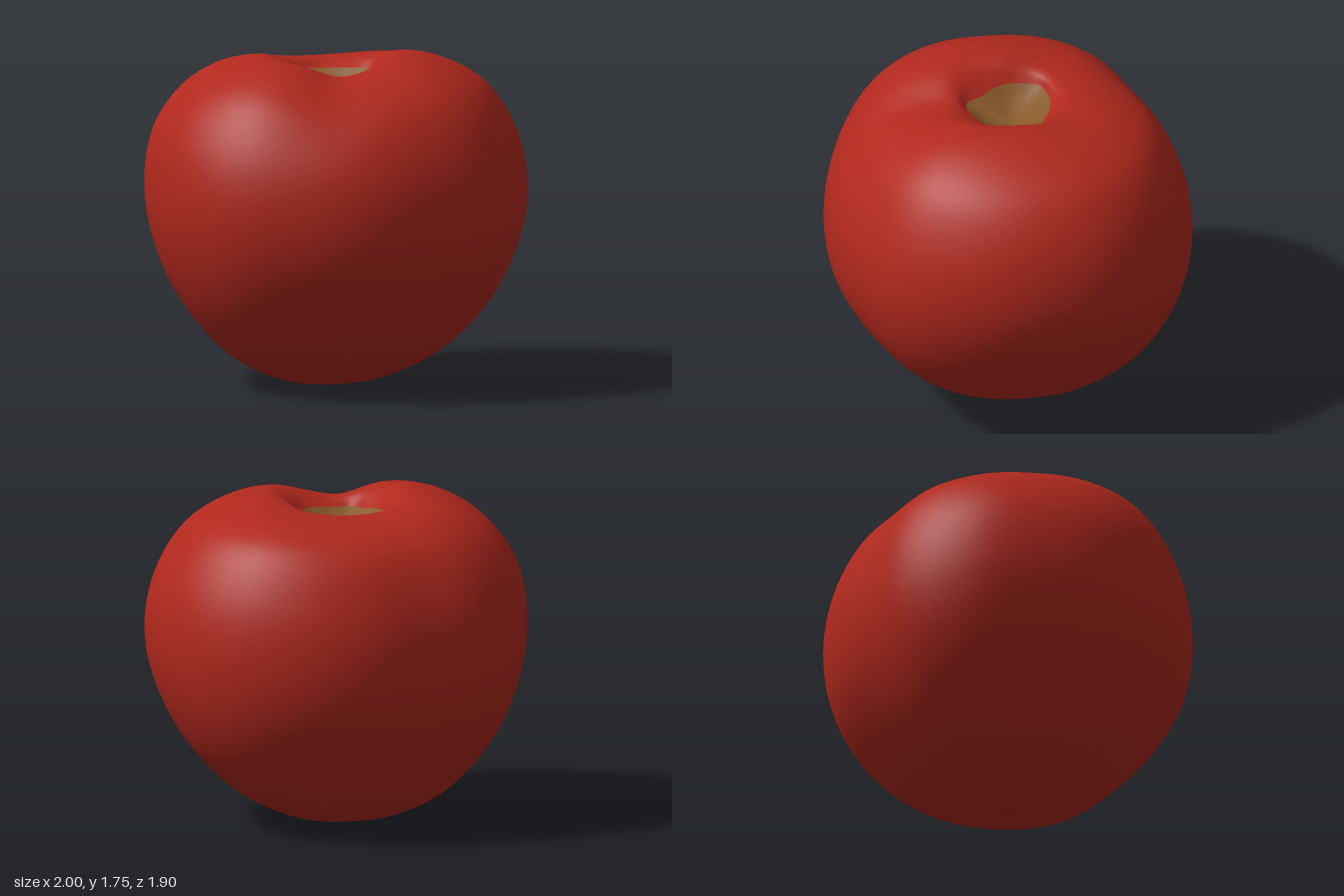
import * as THREE from 'three';

const CX = -0.03, CZ = -0.03, SEG = 96, STEPS = 72;

// Smooth periodic interpolation of evenly spaced values around a full turn
function around(values, angle) {
  const n = values.length;
  const t = (angle / (Math.PI * 2)) * n;
  const i = Math.floor(t), f = t - i;
  const v = (k) => values[(((i + k) % n) + n) % n];
  const [a, b, c, d] = [v(-1), v(0), v(1), v(2)];
  return b + 0.5 * f * (c - a + f * (2 * a - 5 * b + 4 * c - d + f * (3 * (b - c) + d - a)));
}

// Widest outline, from +x through +z, -x and -z
const outline = [1.03, 1.03, 1.03, 0.985, 0.98, 0.985, 1.02, 1.01,
  0.97, 0.975, 0.95, 0.885, 0.915, 0.965, 1.02, 1.045];
// Edge of the stem hollow, a rounded shield
const rim = [0.215, 0.205, 0.215, 0.205, 0.215, 0.24, 0.195, 0.195,
  0.21, 0.23, 0.255, 0.23, 0.21, 0.2, 0.21, 0.245];
const rimHeight = [1.645, 1.64, 1.625, 1.63, 1.645, 1.635, 1.635, 1.64];

// Each row: fraction of the outline radius, then heights in eight directions
// from +x through +z, -x and -z
const profile = [
  [0, 0, 0, 0, 0, 0, 0, 0, 0],
  [0.12, 0.012, 0.012, 0.014, 0.01, 0.006, 0.01, 0.014, 0.012],
  [0.28, 0.05, 0.05, 0.06, 0.045, 0.035, 0.045, 0.06, 0.05],
  [0.55, 0.19, 0.18, 0.205, 0.17, 0.165, 0.17, 0.19, 0.18],
  [0.8, 0.455, 0.41, 0.43, 0.41, 0.44, 0.41, 0.43, 0.41],
  [0.95, 0.76, 0.69, 0.68, 0.7, 0.76, 0.7, 0.68, 0.69],
  [1, 1.03, 0.98, 0.96, 1.0, 1.07, 1.0, 0.96, 1.0],
  [0.95, 1.33, 1.27, 1.25, 1.3, 1.37, 1.3, 1.26, 1.31],
  [0.8, 1.575, 1.55, 1.49, 1.56, 1.575, 1.55, 1.525, 1.57],
  [0.6, 1.695, 1.69, 1.62, 1.695, 1.7, 1.675, 1.64, 1.675],
  [0.4, 1.745, 1.735, 1.67, 1.735, 1.75, 1.7, 1.68, 1.7],
  [0.3, 1.725, 1.705, 1.66, 1.71, 1.73, 1.68, 1.675, 1.69],
];

// Closed rings joined bottom to top, or outside to inside
function loft(rings) {
  const pos = rings.flat(2), index = [];
  for (let k = 0; k < rings.length - 1; k++) {
    for (let i = 0; i < SEG; i++) {
      const j = (i + 1) % SEG;
      const a = k * SEG + i, b = k * SEG + j, c = a + SEG, d = b + SEG;
      index.push(a, c, b, b, c, d);
    }
  }
  const g = new THREE.BufferGeometry();
  g.setAttribute('position', new THREE.Float32BufferAttribute(pos, 3));
  g.setIndex(index);
  g.computeVertexNormals();
  return g;
}

function place(r, y, a) {
  return [CX + r * Math.cos(a), y, CZ + r * Math.sin(a)];
}

function fleshGeometry() {
  const rings = Array.from({ length: STEPS + 1 }, () => []);
  for (let i = 0; i < SEG; i++) {
    const a = (i / SEG) * Math.PI * 2;
    const R = around(outline, a);
    const points = profile.map(([u, ...ys]) => new THREE.Vector3(u * R, around(ys, a), 0));
    points.push(new THREE.Vector3(around(rim, a), around(rimHeight, a), 0));
    const curve = new THREE.CatmullRomCurve3(points, false, 'centripetal');
    for (let k = 0; k <= STEPS; k++) {
      const p = curve.getPoint(k / STEPS);
      // Shallow crease running from the hollow down the front shoulder
      const s = (a - 1.76) / 0.25;
      const fade = THREE.MathUtils.smoothstep(p.y, 1.15, 1.55) *
        THREE.MathUtils.smoothstep(p.x, 0.25, 0.45);
      rings[k].push(place(p.x, p.y - 0.02 * fade * Math.exp(-s * s), a));
    }
  }
  return loft(rings);
}

// Shallow uneven bowl sunk in the crown
function hollowGeometry() {
  const rings = [];
  for (let k = 0; k <= 10; k++) {
    const f = 1 - k / 10;
    rings.push([]);
    for (let i = 0; i < SEG; i++) {
      const a = (i / SEG) * Math.PI * 2;
      const lumps = 0.01 * Math.sin(3 * a + 1) * Math.sin(Math.PI * f) * f;
      const y = THREE.MathUtils.lerp(1.54, around(rimHeight, a), f ** 1.8) + lumps;
      rings[k].push(place(f * around(rim, a), y, a));
    }
  }
  return loft(rings);
}

export function createModel() {
  const red = new THREE.MeshStandardMaterial({ color: 0xb0281d });
  red.name = 'red skin';
  const brown = new THREE.MeshStandardMaterial({ color: 0x885a2b });
  brown.name = 'brown stem';

  const group = new THREE.Group();
  group.name = 'fruit';
  const flesh = new THREE.Mesh(fleshGeometry(), red);
  flesh.name = 'fruitBody';
  const hollow = new THREE.Mesh(hollowGeometry(), brown);
  hollow.name = 'stemHollow';
  group.add(flesh, hollow);
  return group;
}
